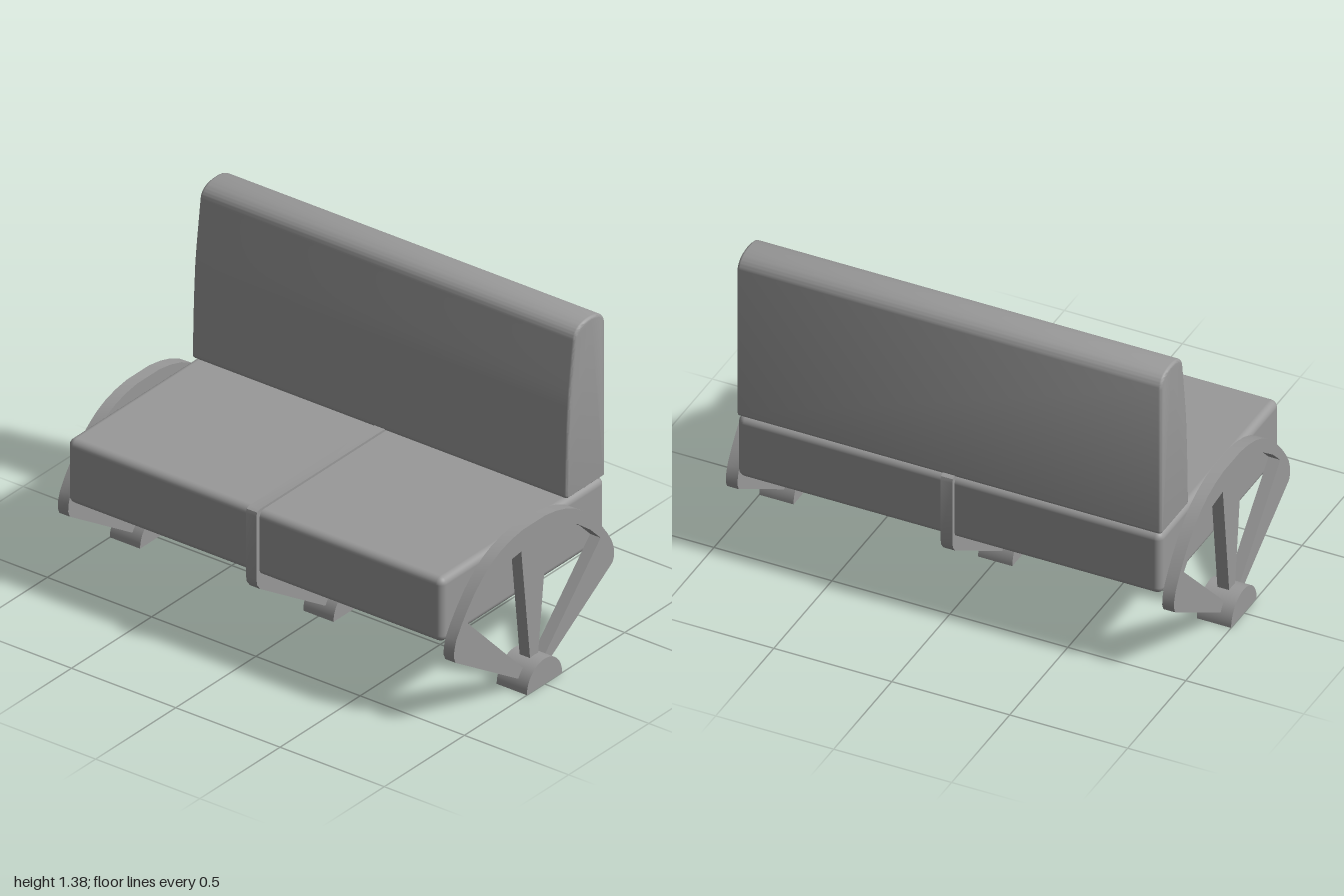
import * as THREE from 'three';
import { toCreasedNormals } from 'three/addons/utils/BufferGeometryUtils.js';
import { RoundedBoxGeometry } from 'three/addons/geometries/RoundedBoxGeometry.js';

const grey = new THREE.MeshStandardMaterial({ color: 0x999999 });
grey.name = 'grey';

const vec = (pts) => pts.map(([z, y]) => new THREE.Vector2(z, y));
const flip = (pts) => pts.map(([z, y]) => [-z, y]).reverse();

// Extrude a (z, y) profile across x, centred on x = 0
function across(shape, width, bevel = 0) {
  const depth = width - 2 * bevel;
  const geo = new THREE.ExtrudeGeometry(shape, {
    depth, curveSegments: 16,
    bevelEnabled: bevel > 0, bevelSize: bevel, bevelThickness: bevel,
    bevelOffset: -bevel, bevelSegments: 3,
  });
  geo.translate(0, 0, -depth / 2);
  geo.rotateY(-Math.PI / 2);
  return toCreasedNormals(geo, 0.6);
}

function add(parent, name, geo, x = 0, y = 0, z = 0) {
  const mesh = new THREE.Mesh(geo, grey);
  mesh.name = name;
  mesh.position.set(x, y, z);
  parent.add(mesh);
}

// Plate outline mirrored front to back; each hole is mirrored too
function plate(half, holes) {
  const shape = new THREE.Shape(vec([...half, ...flip(half)]));
  for (const h of holes) {
    shape.holes.push(new THREE.Path(vec(h)), new THREE.Path(vec(flip(h))));
  }
  return shape;
}

export function createModel() {
  const bench = new THREE.Group();
  bench.name = 'bench';

  // Seat cushion
  add(bench, 'seat', new RoundedBoxGeometry(1.8, 0.28, 1.02, 4, 0.03), 0, 0.505, 0);

  // Backrest with a curved front and rounded top
  const back = new THREE.Shape();
  back.moveTo(-0.5, 0.648);
  back.lineTo(-0.28, 0.648);
  back.quadraticCurveTo(-0.27, 0.65, -0.27, 0.665);
  back.splineThru(vec([[-0.275, 0.85], [-0.281, 0.98], [-0.29, 1.1], [-0.319, 1.325]]));
  back.bezierCurveTo(-0.325, 1.36, -0.36, 1.38, -0.415, 1.38);
  back.bezierCurveTo(-0.47, 1.38, -0.505, 1.36, -0.51, 1.32);
  back.lineTo(-0.51, 0.665);
  back.quadraticCurveTo(-0.51, 0.65, -0.5, 0.648);
  add(bench, 'backrest', across(back, 1.8, 0.012));

  // End frames: arched plate with two windows and a tapered middle spoke
  const arch = [[0, 0.05], [0.1, 0.05], [0.49, 0.295], [0.5, 0.32], [0.498, 0.352], [0.486, 0.39],
    [0.455, 0.44], [0.42, 0.487], [0.37, 0.545], [0.31, 0.598], [0.26, 0.632], [0.205, 0.658],
    [0.14, 0.677], [0.07, 0.688]];
  const window = [[0.025, 0.105], [0.07, 0.085], [0.415, 0.435], [0.35, 0.5], [0.27, 0.56],
    [0.19, 0.584], [0.08, 0.597]];
  const endGeo = across(plate(arch, [window]), 0.05);

  // Middle frame: strap around the seat on splayed legs
  const strap = [[0, 0.05], [0.1, 0.05], [0.505, 0.305], [0.524, 0.33], [0.53, 0.36],
    [0.53, 0.632], [0.525, 0.648], [0.51, 0.655]];
  const gap = [[0.025, 0.105], [0.07, 0.085], [0.345, 0.368], [0.08, 0.368]];
  const pocket = [[0.01, 0.39], [0.49, 0.39], [0.49, 0.63], [0.01, 0.63]];
  const middleGeo = across(plate(strap, [gap, pocket]), 0.05);

  // Half-round feet
  const dome = new THREE.Shape();
  dome.absarc(0, 0, 0.11, 0, Math.PI, false);
  dome.closePath();
  const footGeo = across(dome, 0.145);

  for (const [name, x, geo] of [['right', -0.925, endGeo], ['middle', 0, middleGeo], ['left', 0.925, endGeo]]) {
    add(bench, name + 'Frame', geo, x);
    add(bench, name + 'Foot', footGeo, x + Math.sign(x) * 0.0025);
  }
  return bench;
}
